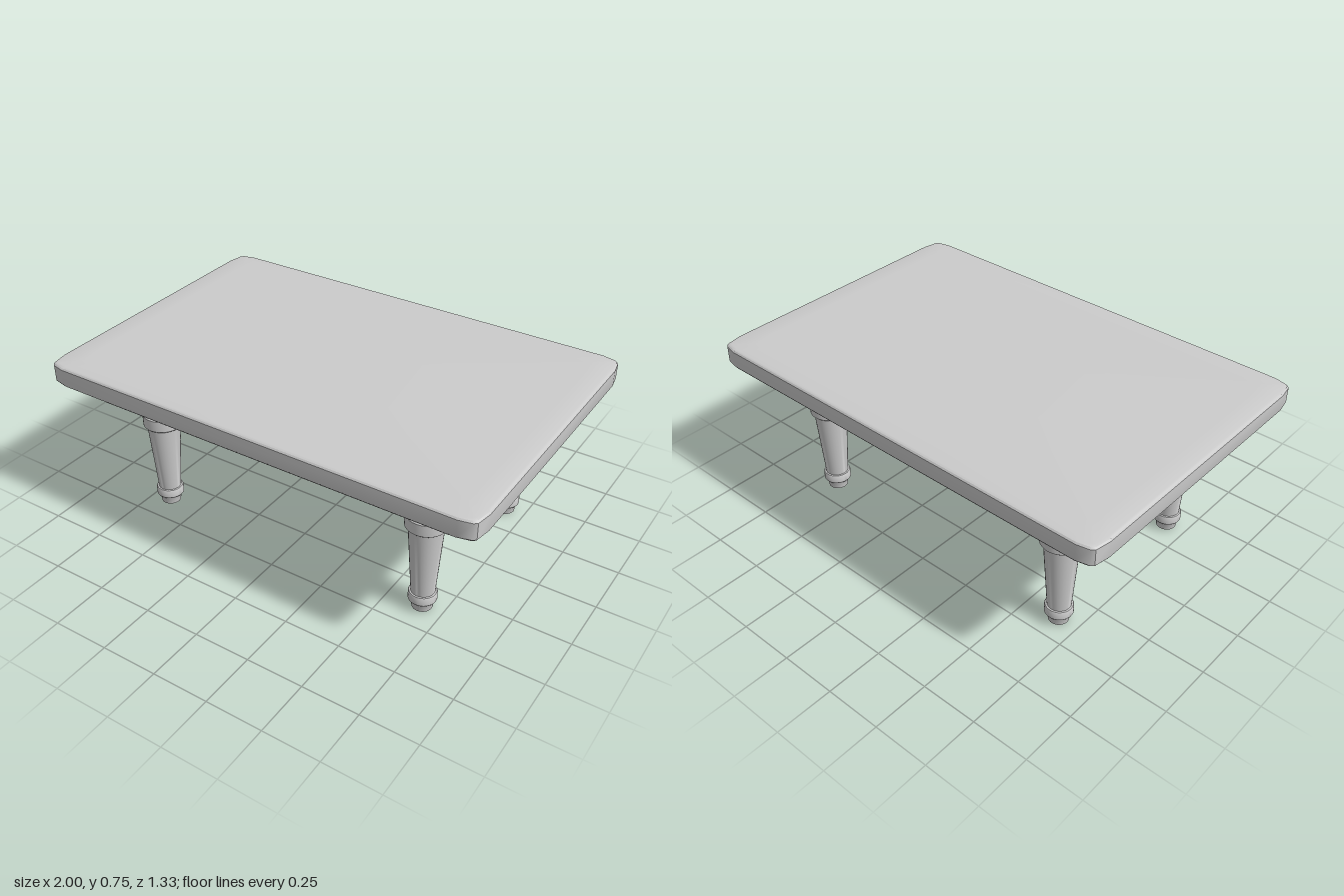
import * as THREE from 'three';
import { toCreasedNormals } from 'three/addons/utils/BufferGeometryUtils.js';

const material = new THREE.MeshStandardMaterial({ color: 0xcccccc });

function makeMesh(name, geometry, crease = 0.6) {
  const mesh = new THREE.Mesh(toCreasedNormals(geometry, crease), material);
  mesh.name = name;
  return mesh;
}

// Closed loft through horizontal outlines; levels run from bottom to top.
// Each level is [y, halfX, halfZ], and outline(halfX, halfZ) gives [x, z] corners.
function loft(levels, outline) {
  const positions = [], indices = [];
  const n = outline(1, 1).length;
  for (const [y, hx, hz] of levels) {
    for (const [x, z] of outline(hx, hz)) positions.push(x, y, z);
  }
  for (let k = 0; k < levels.length - 1; k++) {
    for (let i = 0; i < n; i++) {
      const a = k * n + i, b = k * n + (i + 1) % n;
      indices.push(a, a + n, b, b, a + n, b + n);
    }
  }
  const bottom = positions.length / 3, top = bottom + 1;
  const last = (levels.length - 1) * n;
  positions.push(0, levels[0][0], 0, 0, levels.at(-1)[0], 0);
  for (let i = 0; i < n; i++) {
    const j = (i + 1) % n;
    indices.push(bottom, i, j, top, last + j, last + i);
  }
  const geometry = new THREE.BufferGeometry();
  geometry.setAttribute('position', new THREE.Float32BufferAttribute(positions, 3));
  geometry.setIndex(indices);
  return geometry;
}

// Mirror one quarter outline into all four corners, in order from +x towards +z
function fourCorners(quarter) {
  const back = [...quarter].reverse();
  return [
    ...quarter,
    ...back.map(([x, z]) => [-x, z]),
    ...quarter.map(([x, z]) => [-x, -z]),
    ...back.map(([x, z]) => [x, -z]),
  ];
}

const rectangle = (hx, hz) => fourCorners([[hx, hz]]);
const softRectangle = (hx, hz) => fourCorners([
  [hx, hz - 0.09], [hx - 0.012, hz - 0.023], [hx - 0.025, hz - 0.012], [hx - 0.08, hz],
]);

export function createModel() {
  const table = new THREE.Group();
  table.name = 'table';

  // Thick top with eased edges
  table.add(makeMesh('tableTop', loft([
    [0.65, 0.93, 0.6],
    [0.655, 0.985, 0.652],
    [0.659, 0.995, 0.662],
    [0.667, 1, 0.667],
    [0.738, 1, 0.667],
    [0.745, 0.995, 0.662],
    [0.748, 0.985, 0.652],
    [0.75, 0.9, 0.567],
  ], softRectangle)));

  // Apron: slanted ends, upright long sides, and a cove under the top
  table.add(makeMesh('apron', loft([
    [0.545, 0.815, 0.527],
    [0.547, 0.828, 0.536],
    [0.555, 0.838, 0.54],
    [0.63, 0.876, 0.54],
    [0.64, 0.884, 0.543],
    [0.647, 0.895, 0.552],
    [0.651, 0.912, 0.566],
    [0.656, 0.94, 0.59],
  ], rectangle)));

  // Turned leg: foot, ankle ring, tapered shaft, collar, flared head
  const profile = [
    [0, 0], [0.038, 0], [0.043, 0.004], [0.047, 0.036], [0.05, 0.042],
    [0.056, 0.044], [0.06, 0.049], [0.06, 0.08], [0.057, 0.086], [0.05, 0.087],
    [0.073, 0.414], [0.083, 0.415], [0.088, 0.42], [0.088, 0.472], [0.083, 0.478],
    [0.066, 0.48], [0.068, 0.492], [0.085, 0.519], [0.098, 0.537], [0.106, 0.55],
  ].map(([r, y]) => new THREE.Vector2(r, y));
  const legGeometry = new THREE.LatheGeometry(profile, 32);

  for (const [end, z] of [['front', 0.373], ['back', -0.391]]) {
    for (const [side, x] of [['Left', 0.657], ['Right', -0.657]]) {
      const leg = makeMesh(`${end}${side}Leg`, legGeometry);
      leg.position.set(x, 0, z);
      table.add(leg);
    }
  }
  return table;
}
